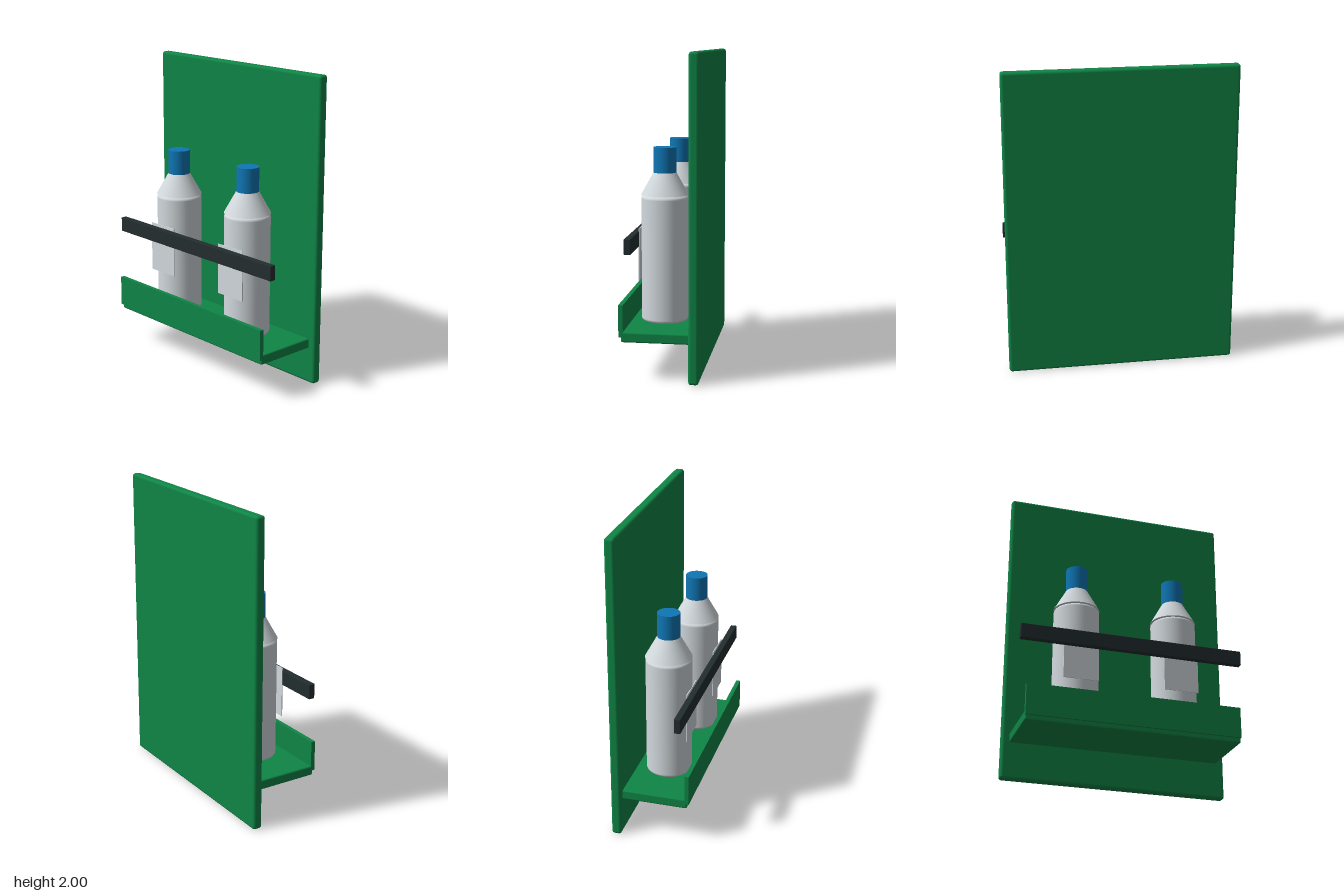
import * as THREE from 'three';
import { RoundedBoxGeometry } from 'three/addons/geometries/RoundedBoxGeometry.js';

const material = (name, color) => {
  const m = new THREE.MeshStandardMaterial({ color });
  m.name = name;
  return m;
};

export function createModel() {
  const green = material('board green', 0x0f8546);
  const blue = material('cap blue', 0x0f76b5);
  const white = material('bottle white', 0xd2d9dd);
  const black = material('strap black', 0x232d2f);

  const model = new THREE.Group();
  model.name = 'bottleStation';

  const add = (parent, name, geometry, mat, x = 0, y = 0, z = 0) => {
    const mesh = new THREE.Mesh(geometry, mat);
    mesh.name = name;
    mesh.position.set(x, y, z);
    parent.add(mesh);
    return mesh;
  };

  // Box given by its width and its y and z limits, centred on x
  const slab = (name, mat, w, y0, y1, z0, z1, radius) => {
    const h = y1 - y0, d = z1 - z0;
    const geometry = radius
      ? new RoundedBoxGeometry(w, h, d, 3, radius)
      : new THREE.BoxGeometry(w, h, d);
    return add(model, name, geometry, mat, 0, (y0 + y1) / 2, (z0 + z1) / 2);
  };

  // Board with shelf, front lip and retaining bar
  slab('backPanel', green, 1.49, 0, 2, -0.25, -0.187, 0.018);
  slab('shelf', green, 1.39, 0.238, 0.302, -0.2, 0.234, 0.01);
  slab('shelfLip', green, 1.39, 0.27, 0.47, 0.22, 0.248);
  slab('retainingBar', black, 1.466, 0.788, 0.885, 0.163, 0.204, 0.004);

  // Body profile with rounded bottom and top edges
  const r = 0.148, y0 = 0.303, y1 = 1.104, c = 0.022;
  const profile = [new THREE.Vector2(0, y0)];
  for (let i = 0; i <= 5; i++) {
    const a = (i / 5) * Math.PI / 2;
    profile.push(new THREE.Vector2(r - c + c * Math.sin(a), y0 + c - c * Math.cos(a)));
  }
  for (let i = 0; i <= 5; i++) {
    const a = (i / 5) * Math.PI / 2;
    profile.push(new THREE.Vector2(r - c + c * Math.cos(a), y1 - c + c * Math.sin(a)));
  }
  profile.push(new THREE.Vector2(0, y1));

  for (const side of [-1, 1]) {
    const bottle = new THREE.Group();
    bottle.name = side < 0 ? 'rightBottle' : 'leftBottle';
    bottle.position.set(side * 0.332, 0, 0.016);
    model.add(bottle);
    add(bottle, 'body', new THREE.LatheGeometry(profile, 48), white);
    add(bottle, 'shoulder', new THREE.CylinderGeometry(0.072, 0.15, 0.14, 48), white, 0, 1.175);
    add(bottle, 'cap', new THREE.CylinderGeometry(0.072, 0.072, 0.168, 48), blue, 0, 1.32);
    // Flat label plate tangent to the front of the body
    add(bottle, 'label', new THREE.BoxGeometry(0.228, 0.33, 0.006), white, 0, 0.738, 0.147);
  }

  return model;
}
